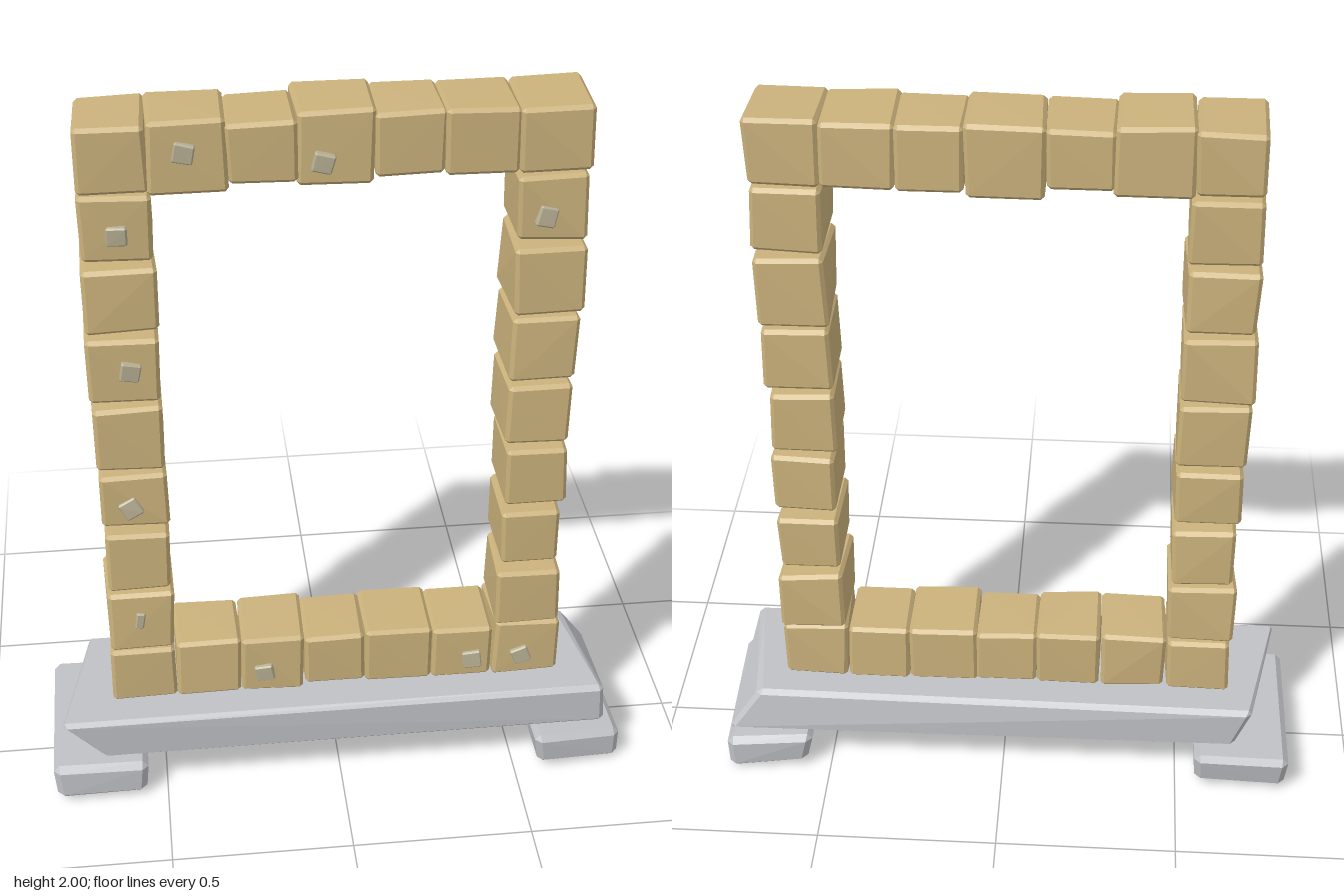
import * as THREE from 'three';
import { ConvexGeometry } from 'three/addons/geometries/ConvexGeometry.js';

const flat = (name, color) => {
  const m = new THREE.MeshStandardMaterial({ color });
  m.name = name;
  return m;
};

// Small seeded generator, returns -1..1
let seed = 11;
const wobble = () => {
  seed = (seed * 16807) % 2147483647;
  return (seed / 2147483647) * 2 - 1;
};

// Chamfered six-sided stone. Corners are ordered by bits: 1 = +x, 2 = +y, 4 = +z
function stone(corners, bevel) {
  const points = [];
  corners.forEach((p, i) => {
    const along = [1, 2, 4].map((bit) => corners[i ^ bit].clone().sub(p).setLength(bevel));
    for (let k = 0; k < 3; k++) {
      points.push(p.clone().add(along[k]).add(along[(k + 1) % 3]));
    }
  });
  return new ConvexGeometry(points);
}

// Box corners from ranges, each shifted a little
function boxCorners([x0, x1], [y0, y1], [z0, z1], shift = 0) {
  return Array.from({ length: 8 }, (_, i) => new THREE.Vector3(
    (i & 1 ? x1 : x0) + wobble() * shift,
    (i & 2 ? y1 : y0) + wobble() * shift * 0.7,
    (i & 4 ? z1 : z0) + wobble() * shift,
  ));
}

export function createModel() {
  const model = new THREE.Group();
  model.name = 'stoneFrame';
  const sand = flat('sandstone', 0xcbb27c);
  const grey = flat('greyStone', 0xbfc1c5);
  const chipMat = flat('paleChip', 0xb9b094);

  const add = (parent, name, geometry, material) => {
    const mesh = new THREE.Mesh(geometry, material);
    mesh.name = name;
    parent.add(mesh);
    return mesh;
  };
  const group = (name) => {
    const g = new THREE.Group();
    g.name = name;
    model.add(g);
    return g;
  };
  const V = (x, y, z) => new THREE.Vector3(x, y, z);

  // Base slab, skewed at both ends
  add(model, 'baseSlab', stone([
    V(-0.66, 0.12, -0.2), V(0.795, 0.12, -0.215), V(-0.71, 0.25, -0.2), V(0.7, 0.25, -0.19),
    V(-0.67, 0.12, 0.2), V(0.765, 0.12, 0.2), V(-0.795, 0.25, 0.205), V(0.76, 0.25, 0.2),
  ], 0.014), grey);

  // Feet
  add(model, 'rightFoot', stone([
    V(-0.81, 0.01, -0.24), V(-0.555, 0.015, -0.235), V(-0.82, 0.12, -0.26), V(-0.55, 0.12, -0.255),
    V(-0.81, 0.01, 0.24), V(-0.56, 0.01, 0.235), V(-0.82, 0.12, 0.235), V(-0.55, 0.115, 0.235),
  ], 0.018), grey);
  add(model, 'leftFoot', stone([
    V(0.57, 0.015, -0.225), V(0.79, 0, -0.25), V(0.545, 0.12, -0.235), V(0.795, 0.11, -0.25),
    V(0.57, 0.015, 0.245), V(0.81, 0, 0.22), V(0.555, 0.12, 0.255), V(0.81, 0.105, 0.225),
  ], 0.018), grey);

  // Side columns: [x0, x1, y0, y1] from bottom to top
  const columns = {
    rightColumn: [
      [-0.635, -0.46, 0.25, 0.42], [-0.64, -0.455, 0.43, 0.615], [-0.635, -0.46, 0.63, 0.81],
      [-0.635, -0.457, 0.84, 1.005], [-0.642, -0.455, 1.025, 1.21], [-0.645, -0.457, 1.23, 1.415],
      [-0.64, -0.457, 1.435, 1.61], [-0.64, -0.457, 1.635, 1.81], [-0.637, -0.462, 1.82, 1.99],
    ],
    leftColumn: [
      [0.45, 0.632, 0.25, 0.43], [0.45, 0.63, 0.43, 0.61], [0.457, 0.62, 0.64, 0.805],
      [0.457, 0.623, 0.835, 1.01], [0.45, 0.62, 1.03, 1.21], [0.45, 0.627, 1.23, 1.41],
      [0.45, 0.635, 1.425, 1.615], [0.45, 0.632, 1.635, 1.81], [0.45, 0.632, 1.82, 1.995],
    ],
  };
  for (const [name, list] of Object.entries(columns)) {
    const column = group(name);
    for (const [x0, x1, y0, y1] of list) {
      add(column, 'block', stone(boxCorners([x0, x1], [y0, y1], [-0.107, 0.107], 0.006), 0.01), sand);
    }
  }

  // Horizontal rows: [x0, x1, y0, y1, z0, z1]
  const rows = {
    bottomRow: [
      [-0.455, -0.272, 0.25, 0.43, -0.105, 0.105], [-0.272, -0.095, 0.25, 0.43, -0.11, 0.105],
      [-0.09, 0.08, 0.255, 0.42, -0.105, 0.1], [0.08, 0.268, 0.25, 0.43, -0.105, 0.105],
      [0.27, 0.445, 0.25, 0.42, -0.105, 0.105],
    ],
    topRow: [
      [-0.463, -0.27, 1.81, 1.998, -0.1, 0.108], [-0.272, -0.1, 1.825, 1.985, -0.102, 0.1],
      [-0.1, 0.093, 1.805, 2, -0.12, 0.085], [0.095, 0.265, 1.82, 1.99, -0.117, 0.09],
      [0.265, 0.45, 1.82, 1.995, -0.112, 0.1],
    ],
  };
  for (const [name, list] of Object.entries(rows)) {
    const row = group(name);
    for (const [x0, x1, y0, y1, z0, z1] of list) {
      add(row, 'block', stone(boxCorners([x0, x1], [y0, y1], [z0, z1], 0.005), 0.01), sand);
    }
  }

  // Small pale chips set in the front faces: [x, y, z, turn, width]
  const chips = group('chips');
  for (const [x, y, z, turn, width] of [
    [-0.375, 1.92, 0.1, -0.2, 0.052], [-0.035, 1.87, 0.082, -0.25, 0.052],
    [-0.545, 1.71, 0.1, 0, 0.052], [0.522, 1.705, 0.1, -0.25, 0.05],
    [-0.535, 1.325, 0.1, -0.2, 0.05], [-0.555, 0.905, 0.1, 0.5, 0.052],
    [-0.55, 0.53, 0.096, -0.15, 0.025], [-0.207, 0.32, 0.1, 0.15, 0.052],
    [0.387, 0.315, 0.1, 0.15, 0.052], [0.527, 0.32, 0.1, 0.4, 0.05],
  ]) {
    const half = width / 2;
    const chip = add(chips, 'chip',
      stone(boxCorners([-half, half], [-0.026, 0.026], [-0.02, 0.02], 0.002), 0.004), chipMat);
    chip.position.set(x, y, z);
    chip.rotation.set(wobble() * 0.12, wobble() * 0.15, turn);
  }
  return model;
}
